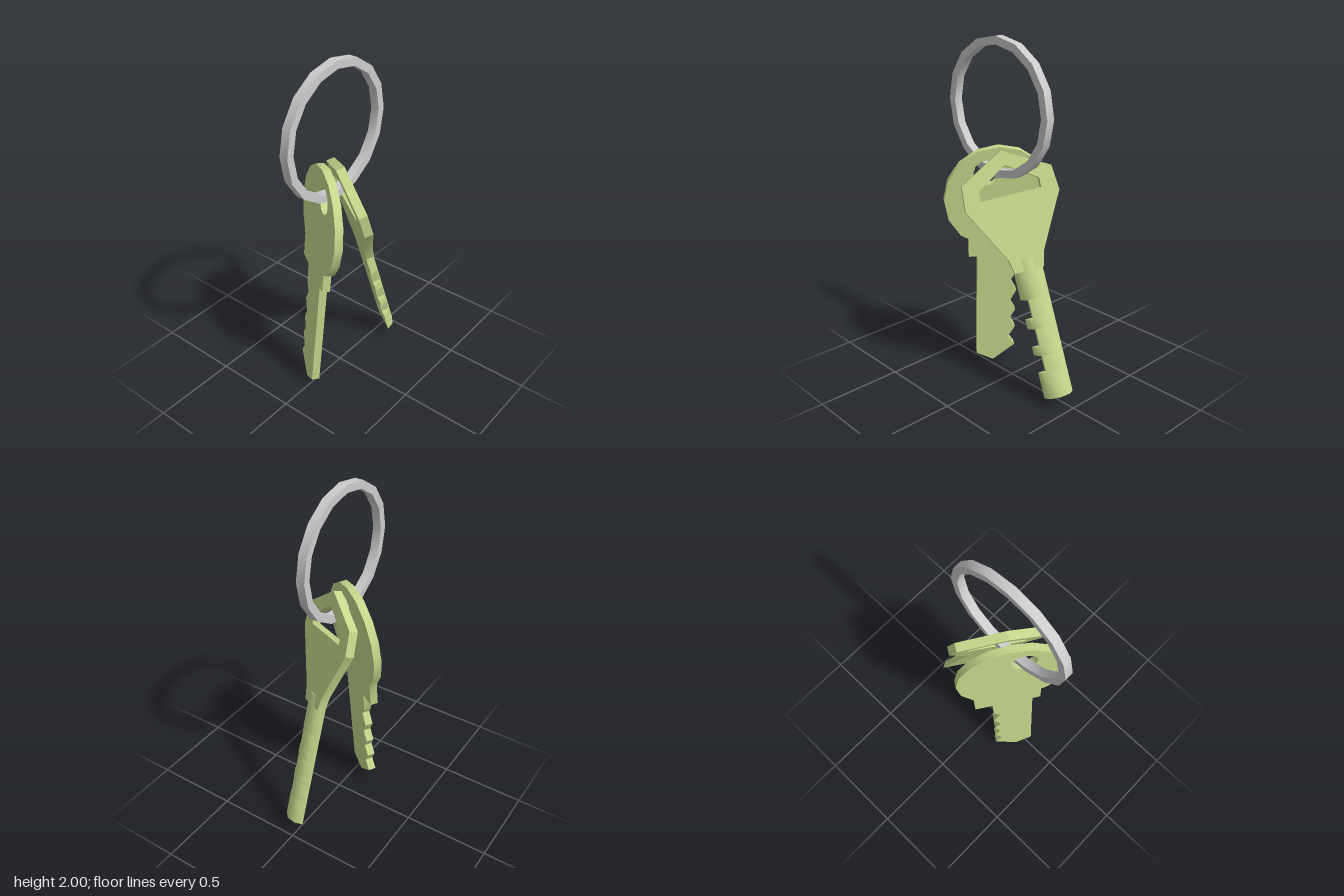
import * as THREE from 'three';
import { toCreasedNormals } from 'three/addons/utils/BufferGeometryUtils.js';

const keyMaterial = new THREE.MeshStandardMaterial({ color: 0xc5d88c });
const ringMaterial = new THREE.MeshStandardMaterial({ color: 0xcccccc });
const rad = THREE.MathUtils.degToRad;

// Regular polygon points, counter-clockwise
function ngon(r, n, cx = 0, cy = 0) {
  return Array.from({ length: n }, (_, i) => {
    const a = (i / n) * Math.PI * 2;
    return [cx + r * Math.cos(a), cy + r * Math.sin(a)];
  });
}

// Flat plate from an outline, with an optional hole
function plate(outline, depth, hole) {
  const toVec = (pts) => pts.map((p) => new THREE.Vector2(p[0], p[1]));
  const shape = new THREE.Shape(toVec(outline));
  if (hole) shape.holes.push(new THREE.Path(toVec(hole)));
  return new THREE.ExtrudeGeometry(shape, { depth, bevelEnabled: false });
}

function mesh(name, geometry, material, crease = 0.6) {
  const m = new THREE.Mesh(toCreasedNormals(geometry, crease), material);
  m.name = name;
  return m;
}

// Round-headed flat key; the front face lies at local z = 0
function roundKey() {
  const key = new THREE.Group();
  key.name = 'roundHeadKey';
  const head = ngon(0.309, 16);
  const outline = [
    ...head.slice(0, 11), // right, over the top, to lower left
    [-0.215, -0.36], [-0.113, -0.36],
    // toothed edge, downwards
    [-0.108, -0.48], [-0.072, -0.532], [-0.11, -0.605], [-0.071, -0.675],
    [-0.105, -0.74], [-0.07, -0.8], [-0.105, -0.86], [-0.063, -0.93], [-0.103, -0.99],
    // tip and straight edge
    [0.03, -1.089], [0.13, -1.035], [0.124, -0.36],
    [0.172, -0.36], [0.172, -0.245],
    ...head.slice(14),
  ];
  const geo = plate(outline, 0.045, ngon(0.074, 12, 0.069, 0.16));
  geo.translate(0, 0, -0.045);
  key.add(mesh('roundKeyBlade', geo, keyMaterial));
  key.rotation.set(rad(-5), rad(-34), 0, 'YXZ');
  key.position.set(-0.03, 1.09, 0.15);
  return key;
}

// Angular-headed key with a half-round notched shaft
function angularKey() {
  const key = new THREE.Group();
  key.name = 'angularHeadKey';
  const head = [
    [0, 0.14], [-0.2525, 0], [-0.265, -0.14], [-0.1, -0.45], [-0.083, -0.53],
    [0.083, -0.53], [0.1, -0.45], [0.265, -0.14], [0.2525, 0],
  ];
  const hole = [[-0.17, -0.106], [0.17, -0.106], [0.17, -0.05], [0, 0.06], [-0.17, -0.05]];
  const geo = plate(head, 0.05, hole);
  geo.translate(0, 0, -0.05);
  key.add(mesh('angularKeyHead', geo, keyMaterial, 0.3));

  // Shaft pieces: top, bottom and whether the edge is notched
  const pieces = [
    [-0.46, -0.69, false], [-0.69, -0.8, true], [-0.8, -0.857, false], [-0.857, -0.96, true],
    [-0.96, -1.01, false], [-1.01, -1.11, true], [-1.11, -1.263, false],
  ];
  const shaft = new THREE.Group();
  shaft.name = 'angularKeyShaft';
  for (const [top, bottom, notched] of pieces) {
    const edge = notched ? [[0.045, 0], [0.045, 0.046]] : [[0.083, 0], [0.058, 0.042]];
    const section = [[-0.083, 0], ...edge, [0, 0.06], [-0.058, 0.042]];
    const g = plate(section, top - bottom);
    g.rotateX(-Math.PI / 2);
    g.translate(0, bottom, 0);
    shaft.add(mesh(notched ? 'shaftNotch' : 'shaftPiece', g, keyMaterial, 0.85));
  }
  key.add(shaft);
  key.rotation.set(rad(20), rad(-32), 0, 'XYZ');
  key.position.set(0.0295, 1.25, 0.02);
  return key;
}

export function createModel() {
  const model = new THREE.Group();
  model.name = 'keysOnRing';

  // Flat ring standing in the side plane
  const ringGeo = plate(ngon(0.385, 16), 0.05, ngon(0.34, 16));
  ringGeo.rotateY(Math.PI / 2);
  const ring = mesh('keyRing', ringGeo, ringMaterial);
  ring.position.set(0, 1.615, 0.073);

  model.add(ring, roundKey(), angularKey());
  return model;
}
